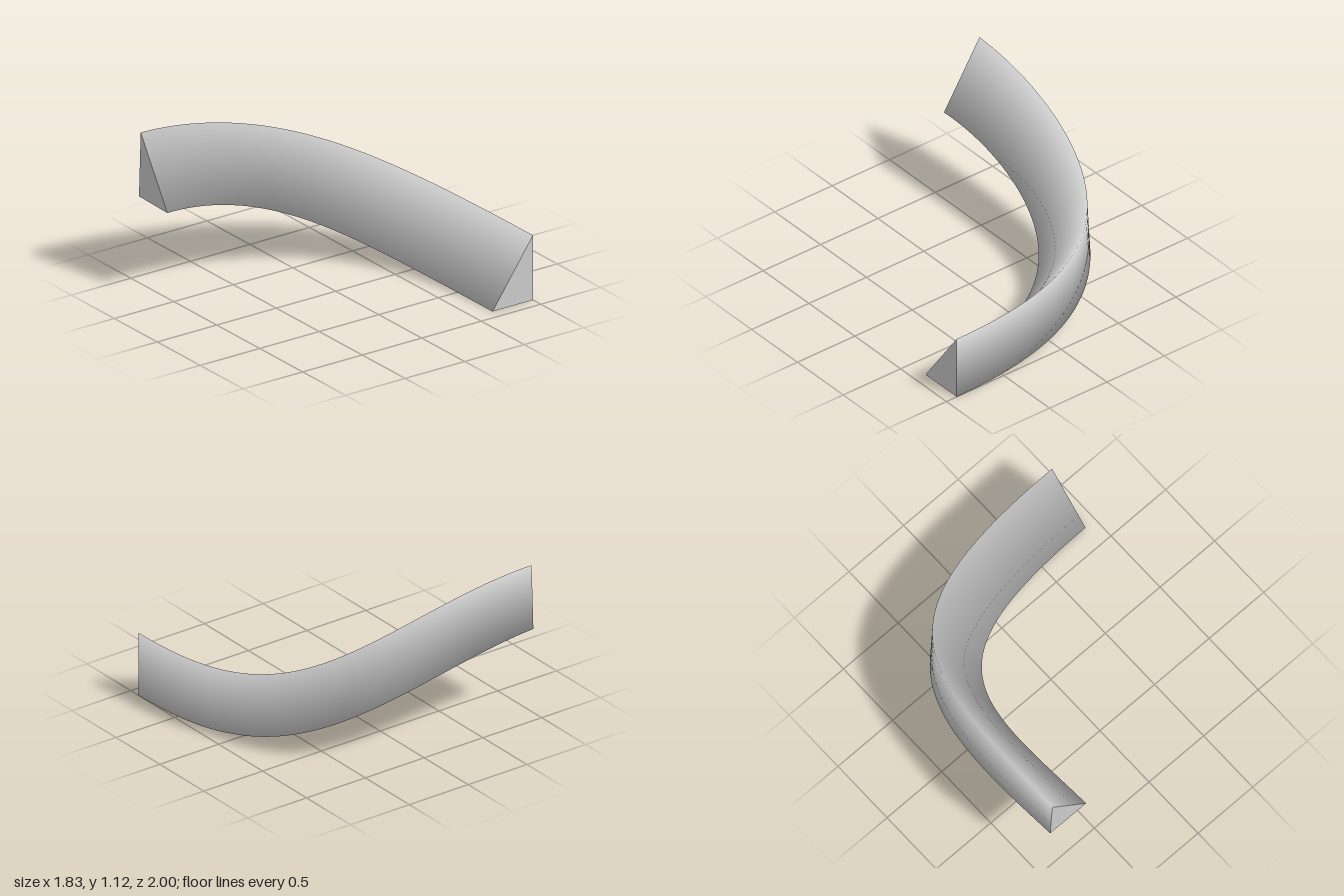
import * as THREE from 'three';

const V = (x, y, z) => new THREE.Vector3(x, y, z);
const STEPS = 64;

// Corner edge of the section: a Bezier bend in plan that rises from y0 to y1, levelling off at the front
class Rail extends THREE.Curve {
  constructor(plan, y0, y1) {
    super();
    this.plan = new THREE.CubicBezierCurve(...plan.map(([x, z]) => new THREE.Vector2(x, z)));
    this.zBack = plan[0][1];
    this.y0 = y0;
    this.y1 = y1;
  }
  getPoint(t) {
    const p = this.plan.getPoint(t);
    const s = Math.min(1, Math.max(0, (1 - p.y) / (1 - this.zBack)));
    return V(p.x, this.y1 - (this.y1 - this.y0) * s ** 1.86, p.y);
  }
}

const rails = [
  // top outer edge
  new Rail([[0.91, -1], [-0.69, -1], [-0.86, -0.5], [-0.885, 1]], 0.48, 1.12),
  // bottom outer edge
  new Rail([[0.91, -1], [-0.61, -1], [-1.0, -0.5], [-0.905, 1]], 0, 0.64),
  // bottom inner edge
  new Rail([[0.91, -0.66], [-0.49, -0.66], [-0.63, -0.2], [-0.575, 1]], 0, 0.63),
];

// Outward normal of the side between corner i and the next one
function sideNormal(i, t) {
  const a = rails[i], b = rails[(i + 1) % 3];
  const edge = b.getPoint(t).sub(a.getPoint(t));
  const along = a.getTangent(t).add(b.getTangent(t));
  return edge.cross(along).normalize();
}

// Swept sides, with shading rounded over the three edges
function sweepGeometry() {
  const pos = [], nor = [], idx = [];
  for (let s = 0; s <= STEPS; s++) {
    const t = s / STEPS;
    for (let i = 0; i < 3; i++) {
      pos.push(...rails[i].getPoint(t).toArray());
      nor.push(...sideNormal(i, t).add(sideNormal((i + 2) % 3, t)).normalize().toArray());
      if (s < STEPS) {
        const a = s * 3 + i, b = s * 3 + (i + 1) % 3;
        idx.push(a, b, a + 3, b, b + 3, a + 3);
      }
    }
  }
  const g = new THREE.BufferGeometry();
  g.setAttribute('position', new THREE.Float32BufferAttribute(pos, 3));
  g.setAttribute('normal', new THREE.Float32BufferAttribute(nor, 3));
  g.setIndex(idx);
  return g;
}

// Flat triangular end
function capGeometry(t, order) {
  const g = new THREE.BufferGeometry().setFromPoints(order.map((i) => rails[i].getPoint(t)));
  g.computeVertexNormals();
  return g;
}

export function createModel() {
  const group = new THREE.Group();
  group.name = 'curvedWedge';
  const grey = new THREE.MeshStandardMaterial({ color: 0xcccccc });
  grey.name = 'light grey';
  const add = (name, geometry) => {
    const mesh = new THREE.Mesh(geometry, grey);
    mesh.name = name;
    group.add(mesh);
  };
  add('sweptBody', sweepGeometry());
  add('lowerEnd', capGeometry(0, [0, 2, 1]));
  add('upperEnd', capGeometry(1, [0, 1, 2]));
  return group;
}
